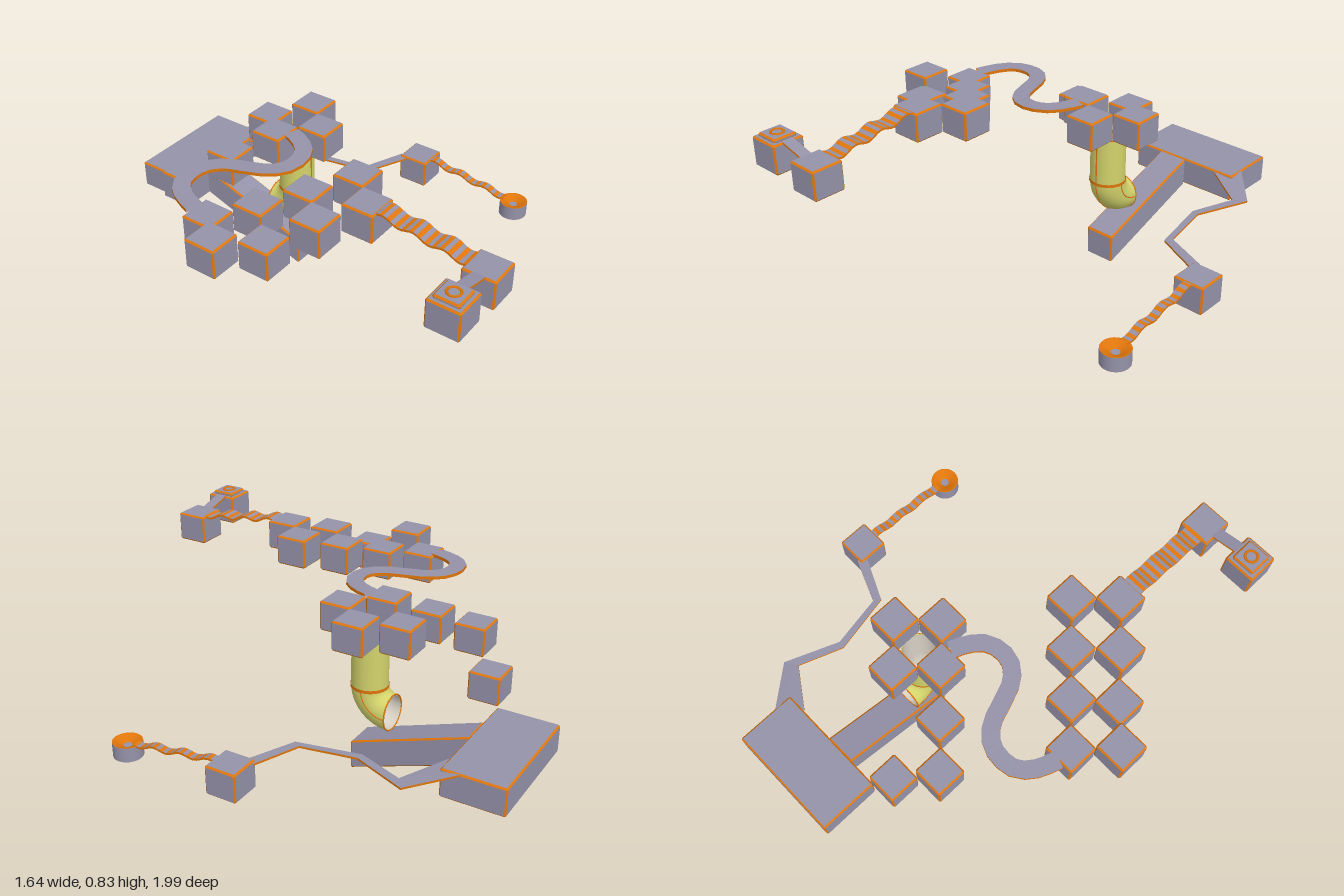
import * as THREE from 'three';
import { ConvexGeometry } from 'three/addons/geometries/ConvexGeometry.js';

const mat = (name, color) => new THREE.MeshStandardMaterial({ name, color, side: THREE.DoubleSide });
const grey = mat('slate grey', 0x9592a9);
const orange = mat('orange trim', 0xe0760c);
const yellow = mat('pipe yellow', 0xd3d36c);
const pale = mat('pipe lining', 0xd8d0c4);

const V = (x, y, z) => new THREE.Vector3(x, y, z);

function fromTriangles(name, tris, material) {
  const g = new THREE.BufferGeometry();
  g.setAttribute('position', new THREE.Float32BufferAttribute(tris.flatMap((p) => [p.x, p.y, p.z]), 3));
  g.computeVertexNormals();
  const m = new THREE.Mesh(g, material);
  m.name = name;
  return m;
}

// Box with grey faces and narrow orange chamfers; slope shears it along z
function trimmedBox(name, w, h, d, x, y, z, slope = 0) {
  const b = 0.007, pts = [];
  for (const sx of [-1, 1]) for (const sy of [-1, 1]) for (const sz of [-1, 1])
    for (let k = 0; k < 3; k++)
      pts.push(V(sx * (w / 2 - (k === 0 ? 0 : b)), sy * (h / 2 - (k === 1 ? 0 : b)), sz * (d / 2 - (k === 2 ? 0 : b))));
  const pos = new ConvexGeometry(pts).getAttribute('position');
  const faces = [], edges = [];
  for (let i = 0; i < pos.count; i += 3) {
    const t = [0, 1, 2].map((j) => new THREE.Vector3().fromBufferAttribute(pos, i + j));
    const n = new THREE.Triangle(...t).getNormal(new THREE.Vector3());
    const flat = Math.max(Math.abs(n.x), Math.abs(n.y), Math.abs(n.z)) > 0.99;
    t.forEach((p) => { p.y += slope * p.z; });
    (flat ? faces : edges).push(...t);
  }
  const g = new THREE.Group();
  g.name = name;
  g.add(fromTriangles(name + 'Faces', faces, grey), fromTriangles(name + 'Edges', edges, orange));
  g.position.set(x, y, z);
  return g;
}

// Thin track between two edge lines, with orange sides and optional stripes
function ribbon(name, left, right, thick, striped = false) {
  const g = [], o = [];
  const quad = (list, a, b, c, d) => list.push(a, b, c, a, c, d);
  const down = (p) => V(p.x, p.y - thick, p.z);
  for (let i = 0; i < left.length - 1; i++) {
    const [a, b, c, d] = [left[i], right[i], right[i + 1], left[i + 1]];
    const [a2, b2, c2, d2] = [a, b, c, d].map(down);
    quad(striped && i % 2 ? o : g, a, b, c, d);
    quad(striped ? o : g, a2, d2, c2, b2);
    quad(o, a, d, d2, a2);
    quad(o, b, b2, c2, c);
  }
  const group = new THREE.Group();
  group.name = name;
  group.add(fromTriangles(name + 'Surface', g, grey), fromTriangles(name + 'Trim', o, orange));
  return group;
}

function wavySlide(name, x, width, z0, z1, y0, y1, amp) {
  const left = [], right = [], n = 24;
  for (let i = 0; i <= n; i++) {
    const t = i / n, z = z0 + (z1 - z0) * t;
    const y = y0 + (y1 - y0) * t + amp * Math.sin(t * Math.PI * 6);
    left.push(V(x - width / 2, y, z));
    right.push(V(x + width / 2, y, z));
  }
  return ribbon(name, left, right, 0.009, true);
}

export function createModel() {
  const root = new THREE.Group();
  const add = (name, geo, material, x = 0, y = 0, z = 0) => {
    const m = new THREE.Mesh(geo, material);
    m.name = name;
    m.position.set(x, y, z);
    root.add(m);
    return m;
  };

  // Rear platform and ramp
  root.add(trimmedBox('platform', 0.53, 0.125, 0.27, 0.155, 0.257, -0.865));
  root.add(trimmedBox('ramp', 0.14, 0.13, 0.53, 0.095, 0.161, -0.469, -0.349));

  // Blocks: x, top height, z
  const blocks = {
    stairBlock: [[-0.175, 0.448, -0.665], [-0.312, 0.575, -0.53], [-0.175, 0.658, -0.395]],
    crossBlock: [[-0.04, 0.737, -0.26], [0.23, 0.737, -0.26], [0.095, 0.737, -0.125], [0.095, 0.703, -0.395]],
    checkerBlock: [
      [-0.62, 0.703, -0.125], [-0.755, 0.738, 0.01], [-0.487, 0.738, 0.01], [-0.62, 0.703, 0.145],
      [-0.35, 0.78, 0.145], [-0.487, 0.785, 0.28], [-0.215, 0.83, 0.28], [-0.35, 0.83, 0.415],
    ],
    goalBlock: [[-0.35, 0.773, 0.92], [-0.585, 0.799, 0.92]],
    cupBlock: [[0.75, 0.292, -0.02]],
  };
  for (const [name, list] of Object.entries(blocks))
    for (const [x, top, z] of list) root.add(trimmedBox(name, 0.14, 0.128, 0.14, x, top - 0.064, z));

  // Curved track between the cross and the checkered blocks
  const curve = new THREE.CatmullRomCurve3([
    [-0.62, -0.19], [-0.587, -0.275], [-0.535, -0.333], [-0.47, -0.348], [-0.4, -0.333], [-0.345, -0.28],
    [-0.31, -0.19], [-0.275, -0.105], [-0.225, -0.058], [-0.17, -0.046], [-0.1, -0.065], [-0.05, -0.12], [-0.02, -0.19],
  ].map(([x, z], i) => V(x, 0.706 + i * 0.0026, z)));
  const left = [], right = [];
  for (let i = 0; i <= 20; i++) {
    const p = curve.getPointAt(i / 20), t = curve.getTangentAt(i / 20);
    const side = V(t.z, 0, -t.x).normalize().multiplyScalar(0.036);
    left.push(p.clone().add(side));
    right.push(p.clone().sub(side));
  }
  root.add(ribbon('curvedTrack', left, right, 0.014));

  // Zigzag track from the platform to the cup block
  root.add(ribbon('zigzagTrack',
    [V(0.42, 0.318, -0.81), V(0.564, 0.287, -0.645), V(0.468, 0.286, -0.41), V(0.51, 0.285, -0.175), V(0.705, 0.284, -0.095)],
    [V(0.333, 0.312, -0.725), V(0.51, 0.287, -0.61), V(0.437, 0.286, -0.415), V(0.49, 0.285, -0.145), V(0.685, 0.284, -0.055)],
    0.009));

  // Wavy slides and the short bridge
  root.add(wavySlide('wideSlide', -0.35, 0.086, 0.48, 0.86, 0.828, 0.775, 0.009));
  root.add(wavySlide('narrowSlide', 0.75, 0.038, 0.04, 0.44, 0.287, 0.232, 0.008));
  root.add(ribbon('bridge', [V(-0.525, 0.803, 0.895), V(-0.41, 0.773, 0.895)],
    [V(-0.525, 0.803, 0.945), V(-0.41, 0.773, 0.945)], 0.009));

  // Pad and ring on the goal block
  root.add(trimmedBox('goalPad', 0.106, 0.02, 0.106, -0.585, 0.804, 0.92));
  add('goalRing', new THREE.TorusGeometry(0.026, 0.009, 4, 10).rotateX(Math.PI / 2), orange, -0.585, 0.811, 0.92);

  // Round cup with a funnel top
  const lathe = (pts) => new THREE.LatheGeometry(pts.map(([r, y]) => new THREE.Vector2(r, y)), 24);
  add('cupWall', lathe([[0.062, 0], [0.062, 0.064]]), grey, 0.75, 0.162, 0.485);
  add('cupFunnel', lathe([[0.062, 0.064], [0.054, 0.064], [0.018, 0.045]]), orange, 0.75, 0.162, 0.485);
  add('cupHole', new THREE.CircleGeometry(0.02, 16).rotateX(-Math.PI / 2), grey, 0.75, 0.207, 0.485);

  // Pipe: upright tube, then an elbow turning to the rear
  const px = 0.094, pz = -0.253, r = 0.077, bend = 0.107;
  const elbowGeo = (radius) => new THREE.TorusGeometry(bend, radius, 20, 12, Math.PI / 2)
    .rotateZ(-Math.PI / 2).rotateY(-Math.PI / 2);
  for (const [part, radius, material] of [['Shell', r, yellow], ['Lining', r - 0.004, pale]]) {
    add('pipe' + part, new THREE.CylinderGeometry(radius, radius, 0.215, 24, 1, true), material, px, 0.4975, pz);
    add('elbow' + part, elbowGeo(radius), material, px, 0.39, pz - bend);
  }
  for (const [y, h] of [[0.605, 0.008], [0.388, 0.014]])
    add('pipeRing', new THREE.CylinderGeometry(r + 0.003, r + 0.003, h, 24, 1, true), orange, px, y, pz);
  add('elbowRing', new THREE.TorusGeometry(r, 0.003, 6, 24), orange, px, 0.39 - bend, pz - bend);

  // Seams along the pipe
  add('frontSeam', new THREE.BoxGeometry(0.005, 0.215, 0.004), orange, px, 0.4975, pz + r);
  const seam = (radius, dx) => add('elbowSeam', new THREE.TorusGeometry(radius, 0.0025, 6, 16, Math.PI / 2)
    .rotateZ(-Math.PI / 2).rotateY(-Math.PI / 2), orange, px + dx, 0.39, pz - bend);
  seam(bend + r, 0);
  seam(bend, r);
  seam(bend, -r);

  return root;
}
